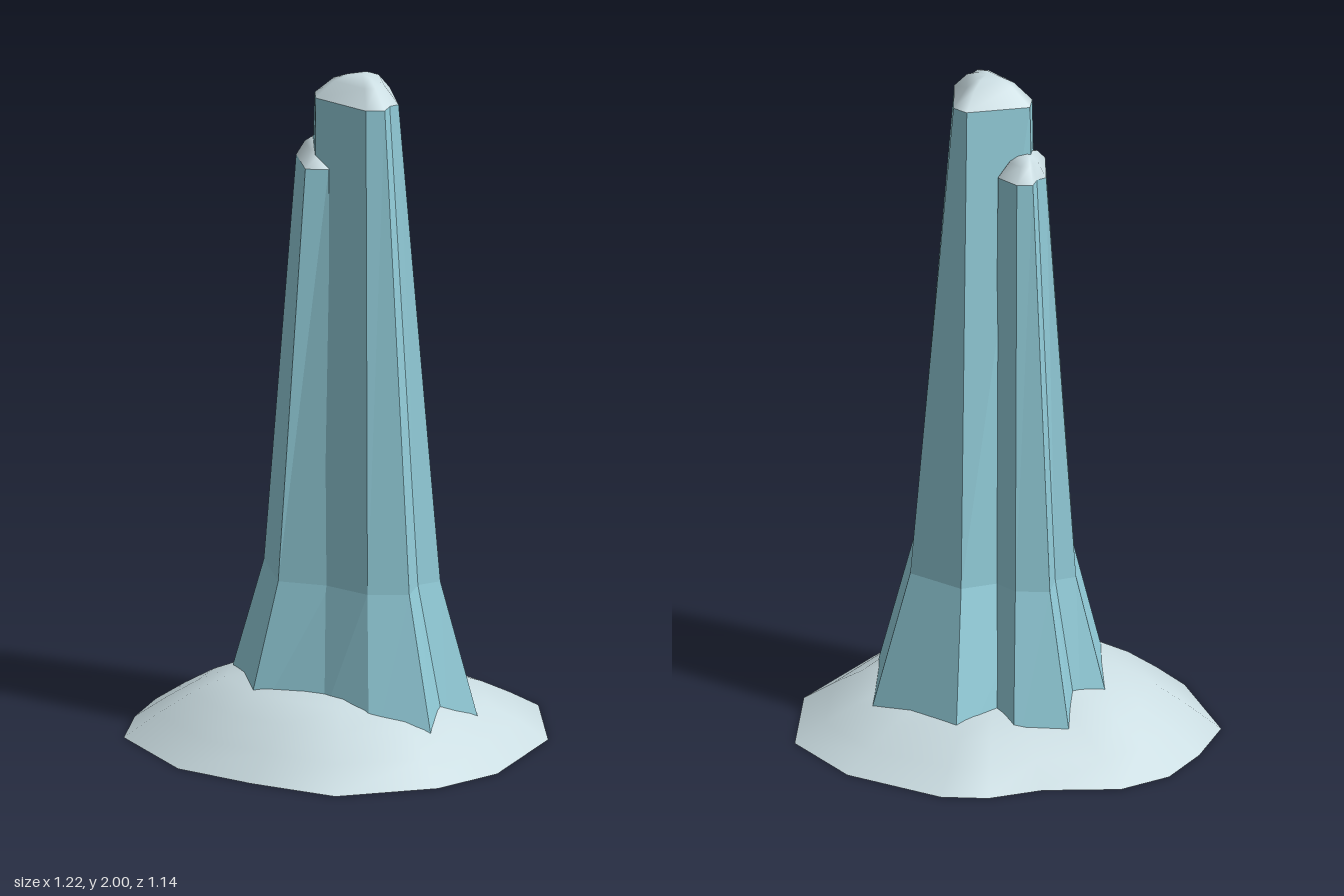
import * as THREE from 'three';

// Joins rings of [x, y, z] points (counter-clockwise from above, bottom to top).
// Optional end points close the bottom and top with fans.
function loft(rings, bottom, top, flat) {
  const n = rings[0].length, pos = rings.flat(2), index = [];
  for (let r = 0; r < rings.length - 1; r++) {
    for (let i = 0; i < n; i++) {
      const j = (i + 1) % n, a = r * n + i, b = r * n + j;
      index.push(a, b, b + n, a, b + n, a + n);
    }
  }
  let next = rings.length * n;
  if (bottom) {
    pos.push(...bottom);
    for (let i = 0; i < n; i++) index.push(next, (i + 1) % n, i);
    next++;
  }
  if (top) {
    const s = (rings.length - 1) * n;
    pos.push(...top);
    for (let i = 0; i < n; i++) index.push(next, s + i, s + (i + 1) % n);
  }
  let g = new THREE.BufferGeometry();
  g.setAttribute('position', new THREE.Float32BufferAttribute(pos, 3));
  g.setIndex(index);
  if (flat) g = g.toNonIndexed();
  g.computeVertexNormals();
  return g;
}

// Faceted rock pillar: upper and lower outlines blended with a flare at the foot
function pillar(upper, lower, topY, mid, foot) {
  const ring = (t, y) => upper.map(([x, z], i) =>
    [x + (lower[i][0] - x) * t, y, z + (lower[i][1] - z) * t]);
  const top = ring(0, topY);
  const cx = upper.reduce((s, p) => s + p[0], 0) / upper.length;
  const cz = upper.reduce((s, p) => s + p[1], 0) / upper.length;
  return loft([ring(foot, 0), ring(mid, 0.5), top], [0, 0, 0], [cx, topY, cz], true);
}

// Rounded snow cap over an outline, shrinking towards its peak
function snowCap(outline, y, peak) {
  const h = peak[1] - y;
  const ring = (s, k) => outline.map(([x, z]) =>
    [peak[0] + (x - peak[0]) * s, y + h * k, peak[2] + (z - peak[2]) * s]);
  return loft([ring(1, 0), ring(0.6, 0.72), ring(0.3, 0.95)], null, peak, false);
}

export function createModel() {
  const model = new THREE.Group();
  const rock = new THREE.MeshStandardMaterial({ color: 0x94cfdc });
  rock.name = 'iceBlueRock';
  const snow = new THREE.MeshStandardMaterial({ color: 0xcbdde2, side: THREE.DoubleSide });
  snow.name = 'paleSnow';
  const add = (name, geometry, material) => {
    const mesh = new THREE.Mesh(geometry, material);
    mesh.name = name;
    model.add(mesh);
  };

  // Tall pillar
  const tallTop = [[0.13, -0.01], [0.10, -0.05], [-0.085, -0.055], [-0.105, 0],
    [-0.02, 0.17], [0.03, 0.19], [0.06, 0.155], [0.09, 0.15]];
  const tallFoot = [[0.38, -0.07], [0.19, -0.30], [-0.10, -0.24], [-0.19, 0.15],
    [-0.075, 0.32], [0.085, 0.395], [0.17, 0.28], [0.28, 0.27]];
  add('tallPillar', pillar(tallTop, tallFoot, 1.93, 0.54, 1.14), rock);
  add('tallPillarSnow', snowCap(tallTop, 1.93, [0.02, 2, 0.045]), snow);

  // Short pillar leaning against the back left
  const shortTop = [[0.015, -0.08], [-0.025, -0.145], [-0.07, -0.155], [-0.09, -0.12],
    [-0.12, -0.11], [-0.15, 0.03], [-0.09, 0.06], [-0.02, 0.0]];
  const shortFoot = [[0.08, -0.25], [0.03, -0.34], [-0.12, -0.385], [-0.17, -0.26],
    [-0.27, -0.25], [-0.33, 0.04], [-0.145, 0.21], [0, 0]];
  add('shortPillar', pillar(shortTop, shortFoot, 1.73, 0.48, 1.18), rock);
  add('shortPillarSnow', snowCap(shortTop, 1.73, [-0.07, 1.79, -0.07]), snow);

  // Snow mound around the foot, higher on one side, open underneath
  const rim = [[0.605, -0.04], [0.51, -0.295], [0.285, -0.51], [0.155, -0.55], [-0.01, -0.53],
    [-0.23, -0.575], [-0.385, -0.52], [-0.505, -0.39], [-0.61, -0.22], [-0.58, 0.11],
    [-0.44, 0.32], [-0.265, 0.525], [0.035, 0.57], [0.245, 0.51], [0.505, 0.27]];
  const profile = [[1, 0], [0.85, 0.062], [0.7, 0.117], [0.55, 0.158], [0.35, 0.185]];
  const mound = profile.map(([s, y]) => rim.map(([x, z]) =>
    [x * s, y * (1 - 0.25 * x + 0.08 * z), z * s]));
  add('snowMound', loft(mound, null, null, false), snow);

  return model;
}
